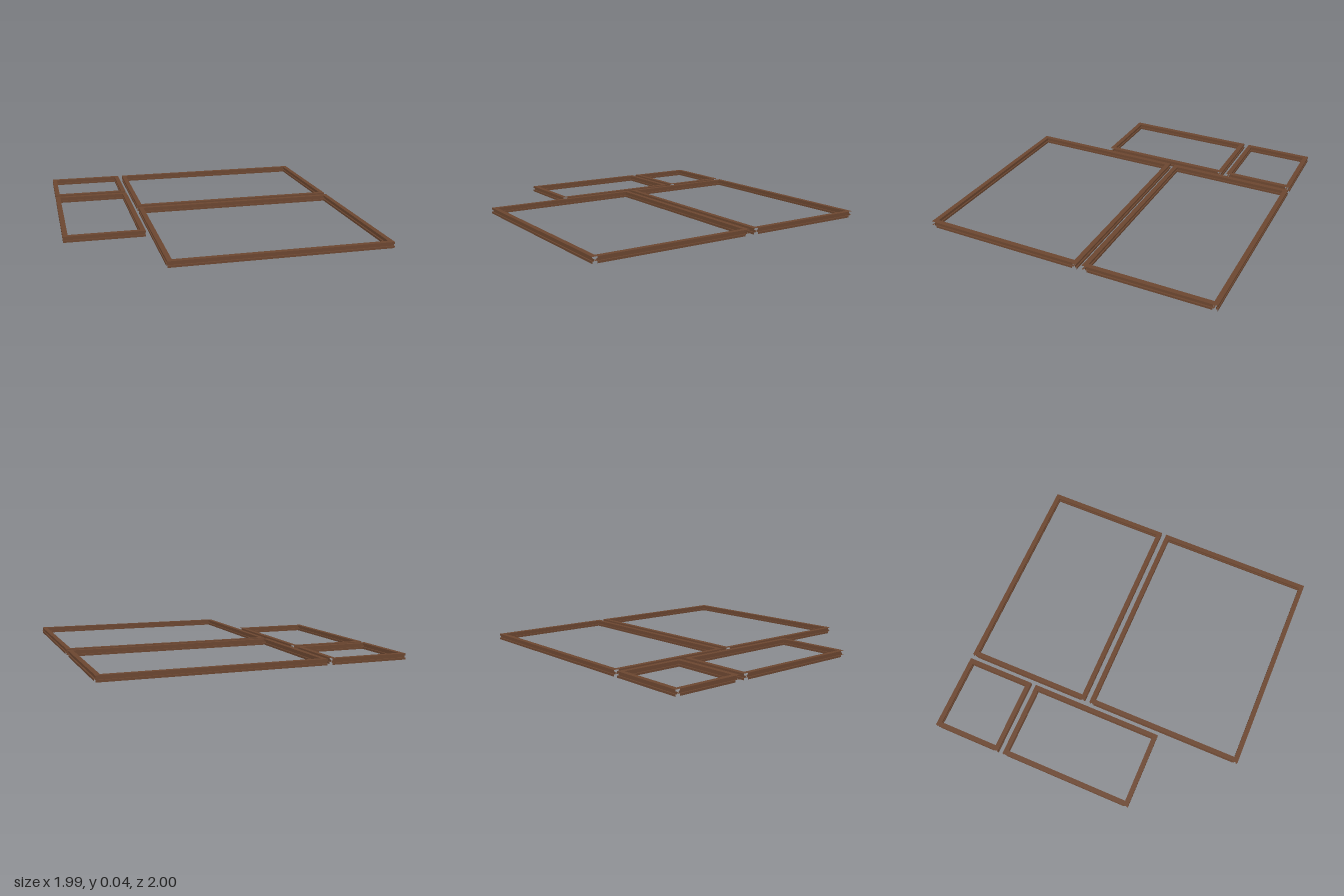
import * as THREE from 'three';

const W = 0.032; // bar width
const H = 0.04;  // bar height
const wood = new THREE.MeshStandardMaterial({ color: 0x6b4630 });

// Grooved bar section: wide top and bottom lips with a recessed web between
function barProfile() {
  const a = W / 2, web = 0.006, lip = 0.013;
  return new THREE.Shape([
    [-a, 0], [a, 0], [a, lip], [web, lip], [web, H - lip], [a, H - lip],
    [a, H], [-a, H], [-a, H - lip], [-web, H - lip], [-web, lip], [-a, lip],
  ].map(([x, y]) => new THREE.Vector2(x, y)));
}

// Open-ended bar running along z, centred on its length
function barGeometry(length) {
  const full = new THREE.ExtrudeGeometry(barProfile(), { depth: length, bevelEnabled: false });
  const { start, count } = full.groups[1]; // side walls only
  const geo = new THREE.BufferGeometry();
  for (const name of ['position', 'normal']) {
    const data = full.getAttribute(name).array.slice(start * 3, (start + count) * 3);
    geo.setAttribute(name, new THREE.BufferAttribute(data, 3));
  }
  return geo.translate(0, 0, -length / 2);
}

// Rectangular frame: two full-width rails with two stiles fitted between them
function frame(name, x0, x1, z0, z1) {
  const group = new THREE.Group();
  group.name = name;
  group.position.set((x0 + x1) / 2, 0, (z0 + z1) / 2);
  const w = x1 - x0, d = z1 - z0;
  for (const s of [-1, 1]) {
    const rail = new THREE.Mesh(barGeometry(w), wood);
    rail.name = s < 0 ? 'backRail' : 'frontRail';
    rail.rotation.y = Math.PI / 2;
    rail.position.z = s * (d - W) / 2;

    const stile = new THREE.Mesh(barGeometry(d - 2 * W), wood);
    stile.name = s < 0 ? 'rightStile' : 'leftStile';
    stile.position.x = s * (w - W) / 2;
    group.add(rail, stile);
  }
  return group;
}

export function createModel() {
  const model = new THREE.Group();
  model.name = 'frameSet';
  model.add(
    frame('smallFrame', -0.995, -0.467, -1, -0.525),
    frame('tallFrame', -0.995, -0.467, -0.49, 0.433),
    frame('wideFrame', -0.435, 0.995, -1, -0.13),
    frame('largeFrame', -0.435, 0.995, -0.095, 1),
  );
  return model;
}
